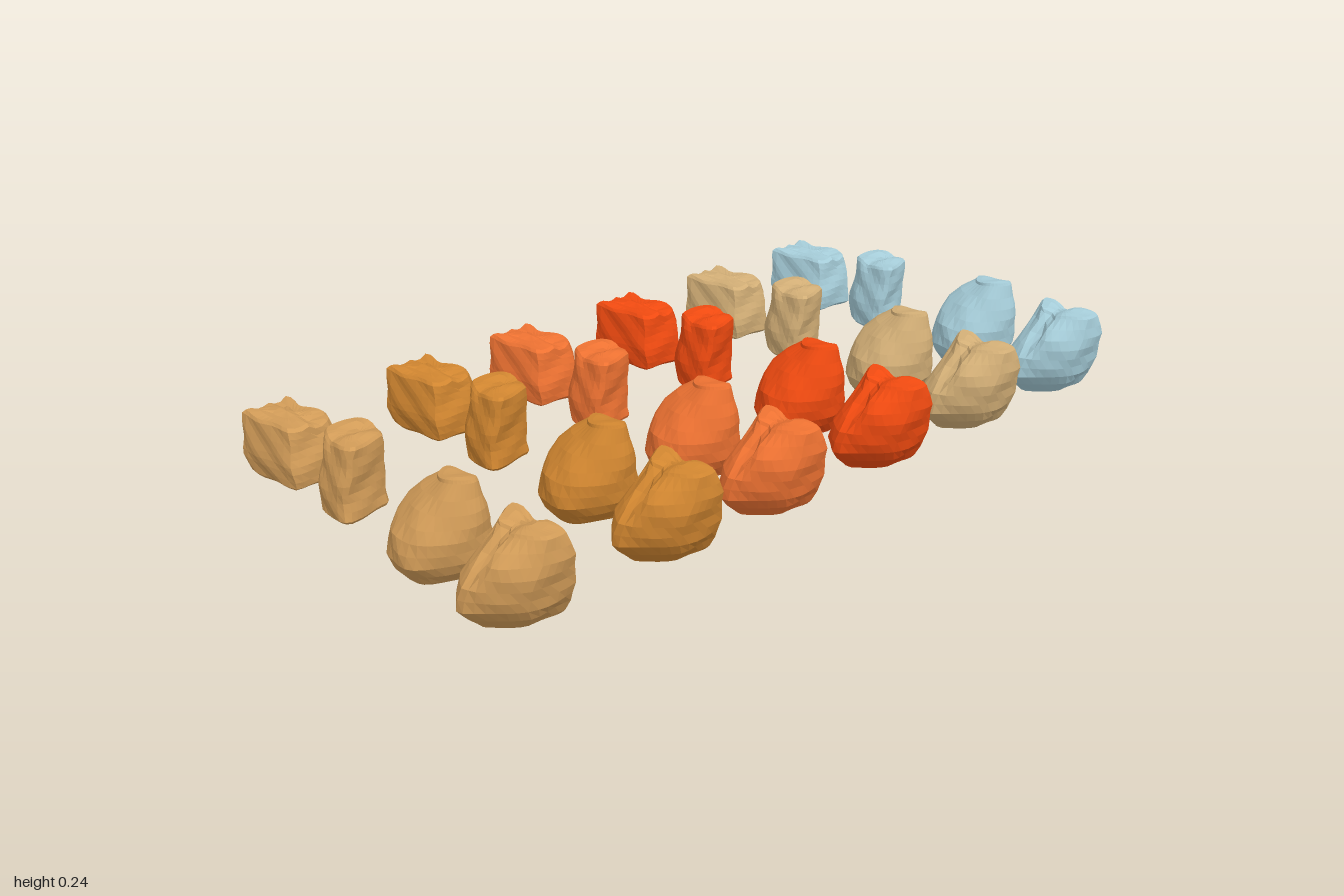
import * as THREE from 'three';

const SIDES = 32;
const STEPS = 9;
const { lerp, smoothstep } = THREE.MathUtils;
const bell = (d, w) => Math.exp(-(d * d) / (w * w));

// Each rock: a plan outline [x, z], clockwise seen from above, and evenly
// spaced sections [left, right, front] from the bottom to the top height.
const longBlock = {
  name: 'longBlock', bottom: 0.025, top: 0.158, lean: 0.012, tension: 0.2,
  plan: [[-0.545, -0.98], [-0.47, -0.98], [-0.38, -1], [-0.345, -0.985], [-0.345, -0.86], [-0.44, -0.838], [-0.535, -0.835]],
  sections: [[-0.534, -0.349, -0.845], [-0.537, -0.346, -0.837], [-0.54, -0.355, -0.842], [-0.544, -0.36, -0.848]],
  // stepped ridges along the top, and a slightly sloping base
  shape(p) {
    if (p.y > 0.14) p.y -= 0.014 * bell(p.z + 0.945, 0.014) + 0.008 * bell(p.z + 0.895, 0.012);
    if (p.y < 0.05) p.y -= 0.05 * (p.x + 0.445);
  }
};

const tallBlock = {
  name: 'tallBlock', bottom: 0.033, top: 0.2, lean: 0.012, tension: 0.2,
  plan: [[-0.255, -0.985], [-0.21, -1], [-0.13, -0.97], [-0.096, -0.85], [-0.125, -0.835], [-0.2, -0.84], [-0.255, -0.88]],
  sections: [[-0.25, -0.102, -0.838], [-0.257, -0.105, -0.836], [-0.245, -0.099, -0.846], [-0.243, -0.094, -0.858]],
  // a shallow dip across the top
  shape(p) {
    if (p.y > 0.19) p.y -= 0.01 * bell(p.x + 0.18, 0.02);
  }
};

const roundBoulder = {
  name: 'roundBoulder', bottom: 0.018, top: 0.235, lean: 0.05, tension: 0.5,
  plan: [[0.068, -0.925], [0.10, -0.97], [0.18, -0.99], [0.26, -0.975], [0.285, -0.9], [0.24, -0.8], [0.175, -0.78], [0.1, -0.82]],
  sections: [[0.08, 0.245, -0.815], [0.067, 0.28, -0.778], [0.075, 0.287, -0.788], [0.095, 0.287, -0.83], [0.16, 0.272, -0.88]],
  // the crown rises to the right
  shape(p) {
    if (p.y > 0.22) p.y += 0.08 * (p.x - 0.225);
  }
};

const craggyBoulder = {
  name: 'craggyBoulder', bottom: 0.018, top: 0.222, lean: 0.035, tension: 0.25,
  plan: [[0.32, -0.95], [0.37, -0.98], [0.46, -0.965], [0.535, -0.975], [0.54, -0.86], [0.505, -0.81], [0.43, -0.755], [0.345, -0.82]],
  sections: [[0.335, 0.485, -0.81], [0.322, 0.52, -0.76], [0.337, 0.533, -0.763], [0.359, 0.545, -0.808], [0.374, 0.54, -0.85]],
  // creases that meet high on the front, a knob beside them, a notch on top
  shape(p) {
    const front = smoothstep(p.z, -0.93, -0.84);
    p.z -= front * 0.028 * bell(p.x - 0.44, 0.016) * smoothstep(p.y, 0.1, 0.17);
    p.z -= front * 0.02 * bell(p.x - 0.39, 0.014) * smoothstep(p.y, 0.15, 0.2);
    p.z += front * 0.022 * bell(Math.hypot(p.x - 0.495, p.y - 0.175), 0.04);
    if (p.y > 0.2) p.y -= 0.016 * bell(p.x - 0.445, 0.025);
  }
};

const ROCKS = [longBlock, tallBlock, roundBoulder, craggyBoulder];

// Rounded ends: scale of the section and distance beyond it
const CAP = [[0.92, 0.007], [0.6, 0.01], [0.3, 0.011], [0, 0.011]];

// Skin a rock from its outline, scaled to each section
function rockGeometry({ bottom, top, lean, tension, plan, sections, shape }) {
  const outline = new THREE.CatmullRomCurve3(plan.map(([x, z]) => new THREE.Vector3(x, 0, z)), true, 'catmullrom', tension)
    .getSpacedPoints(SIDES).slice(0, SIDES);
  const { min, max } = new THREE.Box3().setFromPoints(outline);
  const profile = new THREE.CatmullRomCurve3(sections.map(s => new THREE.Vector3(...s)));

  // rings: section parameter, scale, height
  const rings = [];
  for (const [k, d] of [...CAP].reverse()) rings.push([0, k, bottom - d]);
  for (let i = 0; i < STEPS; i++) rings.push([i / (STEPS - 1), 1, lerp(bottom, top, i / (STEPS - 1))]);
  for (const [k, d] of CAP) rings.push([1, k, top + d]);

  const positions = [], index = [];
  rings.forEach(([t, k, y], r) => {
    const s = profile.getPoint(t);
    const back = min.z + lean * t * t;
    outline.forEach((o, i) => {
      const u = 0.5 + k * ((o.x - min.x) / (max.x - min.x) - 0.5);
      const v = 0.5 + k * ((o.z - min.z) / (max.z - min.z) - 0.5);
      const x = lerp(s.x, s.y, u), z = lerp(back, s.z, v);
      // gentle chipped unevenness
      const p = new THREE.Vector3(
        x + 0.002 * Math.sin(70 * y + 45 * z),
        y + 0.002 * Math.sin(60 * x + 50 * z),
        z + 0.002 * Math.sin(65 * x + 80 * y));
      shape(p);
      positions.push(p.x, Math.max(p.y, 0), p.z);
      if (r === rings.length - 1) return;
      const a = r * SIDES + i, b = r * SIDES + (i + 1) % SIDES;
      if (r < rings.length - 2) index.push(a, a + SIDES, b + SIDES);
      else index.push(a, a + SIDES, b);
      if (r > 0 && r < rings.length - 2) index.push(a, b + SIDES, b);
    });
  });

  const geometry = new THREE.BufferGeometry();
  geometry.setAttribute('position', new THREE.Float32BufferAttribute(positions, 3));
  geometry.setIndex(index);
  geometry.computeVertexNormals();
  return geometry;
}

// Rows from back to front: name, offset along z, color
const ROWS = [
  ['paleBlueRow', 0, 0xa5ccd8],
  ['sandRow', 0.345, 0xd2ae76],
  ['redRow', 0.68, 0xf04a10],
  ['orangeRow', 1.04, 0xee7232],
  ['ochreRow', 1.357, 0xd18630],
  ['tanRow', 1.755, 0xd29c58]
];

export function createModel() {
  const model = new THREE.Group();
  model.name = 'rockSet';
  const geometries = ROCKS.map(rockGeometry);
  for (const [name, z, color] of ROWS) {
    const row = new THREE.Group();
    row.name = name;
    row.position.z = z;
    const material = new THREE.MeshStandardMaterial({ color, flatShading: true });
    ROCKS.forEach((rock, i) => {
      const mesh = new THREE.Mesh(geometries[i], material);
      mesh.name = rock.name;
      row.add(mesh);
    });
    model.add(row);
  }
  return model;
}
